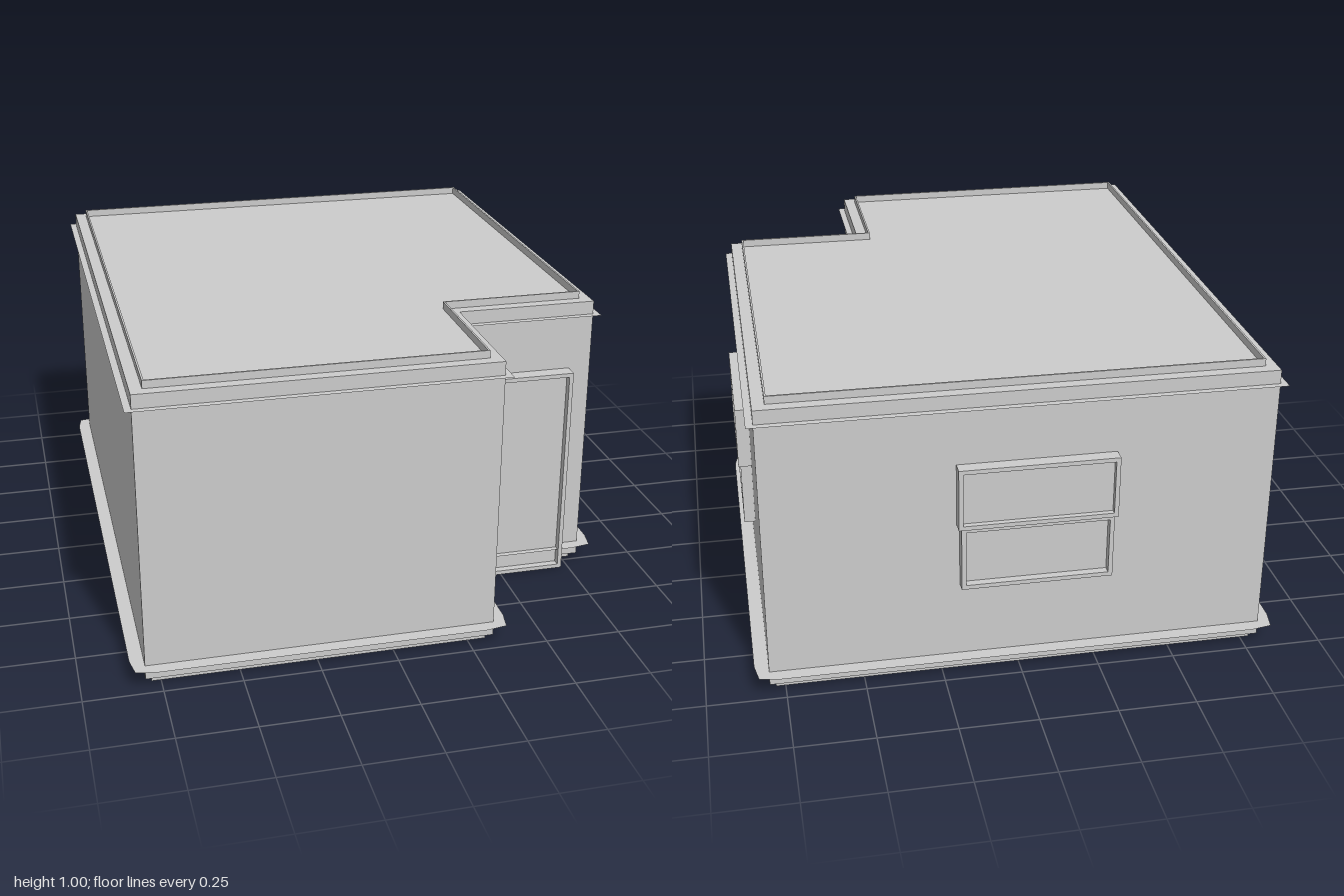
import * as THREE from 'three';

const plaster = new THREE.MeshStandardMaterial({ color: 0xcccccc, side: THREE.DoubleSide });
plaster.name = 'plaster grey';

// L-shaped floor plan, grown outward by d; taper pulls the corners back in
function plan(d, taper = 0) {
  const x0 = -0.8 - d, x1 = 0.33 + d, x2 = 0.8 + d;
  const z0 = -0.955 - d, z1 = 0.5 + d, z2 = 0.955 + d;
  const corners = [[x0, z2], [x1, z2], [x1, z1], [x2, z1], [x2, z0], [x0, z0]];
  const points = [];
  corners.forEach(([x, z], i) => {
    if (!taper || i === 2) {
      points.push(new THREE.Vector2(x, -z));
      return;
    }
    const along = ([nx, nz]) => {
      const len = Math.hypot(nx - x, nz - z), t = 0.08 / len;
      return new THREE.Vector2(x + (nx - x) * t, -(z + (nz - z) * t));
    };
    points.push(along(corners[(i + 5) % 6]));
    points.push(new THREE.Vector2(x - Math.sign(x) * taper, -(z - Math.sign(z) * taper)));
    points.push(along(corners[(i + 1) % 6]));
  });
  return points;
}

// Plan outline raised from y0 to y1, optionally hollow
function slab(name, outer, y0, y1, inner) {
  const shape = new THREE.Shape(outer);
  if (inner) shape.holes.push(new THREE.Path(inner));
  const geo = new THREE.ExtrudeGeometry(shape, { depth: y1 - y0, bevelEnabled: false });
  geo.rotateX(-Math.PI / 2).translate(0, y0, 0);
  const mesh = new THREE.Mesh(geo, plaster);
  mesh.name = name;
  return mesh;
}

// Thin horizontal moulding around the walls
function ledge(name, d, taper, y) {
  const shape = new THREE.Shape(plan(d, taper));
  shape.holes.push(new THREE.Path(plan(-0.002)));
  const mesh = new THREE.Mesh(new THREE.ShapeGeometry(shape).rotateX(-Math.PI / 2), plaster);
  mesh.name = name;
  mesh.position.y = y;
  return mesh;
}

function box(name, w, h, d, x, y, z) {
  const mesh = new THREE.Mesh(new THREE.BoxGeometry(w, h, d), plaster);
  mesh.name = name;
  mesh.position.set(x, y, z);
  return mesh;
}

// Rectangular frame standing out from z = 0, with a recessed panel
function framedPanel(name, w, h, depth, rim, recess) {
  const g = new THREE.Group();
  g.name = name;
  for (const s of [-1, 1]) {
    g.add(box(name + 'Jamb', rim, h, depth, s * (w - rim) / 2, 0, depth / 2));
    g.add(box(name + 'Rail', w - 2 * rim, rim, depth, 0, s * (h - rim) / 2, depth / 2));
  }
  const t = depth - recess;
  g.add(box(name + 'Panel', w - 2 * rim, h - 2 * rim, t, 0, 0, t / 2));
  return g;
}

// Sash window: the upper sash is wider and sits proud of the lower one
function sashWindow(name, w) {
  const g = new THREE.Group();
  g.name = name;
  const upper = framedPanel('upperSash', w, 0.205, 0.043, 0.014, 0.018);
  upper.position.y = 0.642;
  const lower = framedPanel('lowerSash', w - 0.02, 0.215, 0.036, 0.014, 0.026);
  lower.position.y = 0.433;
  g.add(upper, lower);
  return g;
}

export function createModel() {
  const house = new THREE.Group();
  house.name = 'house';

  // Base, walls and roof rim
  house.add(slab('base', plan(-0.02), 0, 0.022));
  house.add(slab('walls', plan(0), 0.022, 0.975));
  house.add(slab('roofRim', plan(-0.038), 0.975, 1, plan(-0.044)));

  // Mouldings
  house.add(ledge('skirtingLedge', 0.045, 0.012, 0.07));
  house.add(ledge('corniceLedge', 0.022, 0, 0.93));

  // Door in the recessed corner
  const door = framedPanel('door', 0.325, 0.742, 0.05, 0.014, 0.025);
  door.position.set(0.562, 0.371, 0.5);
  house.add(door);

  // Windows on the left side and the back
  const sideWindow = sashWindow('sideWindow', 0.475);
  sideWindow.rotation.y = Math.PI / 2;
  sideWindow.position.set(0.8, 0, -0.222);
  const backWindow = sashWindow('backWindow', 0.5);
  backWindow.rotation.y = Math.PI;
  backWindow.position.set(-0.045, 0, -0.955);
  house.add(sideWindow, backWindow);

  return house;
}
